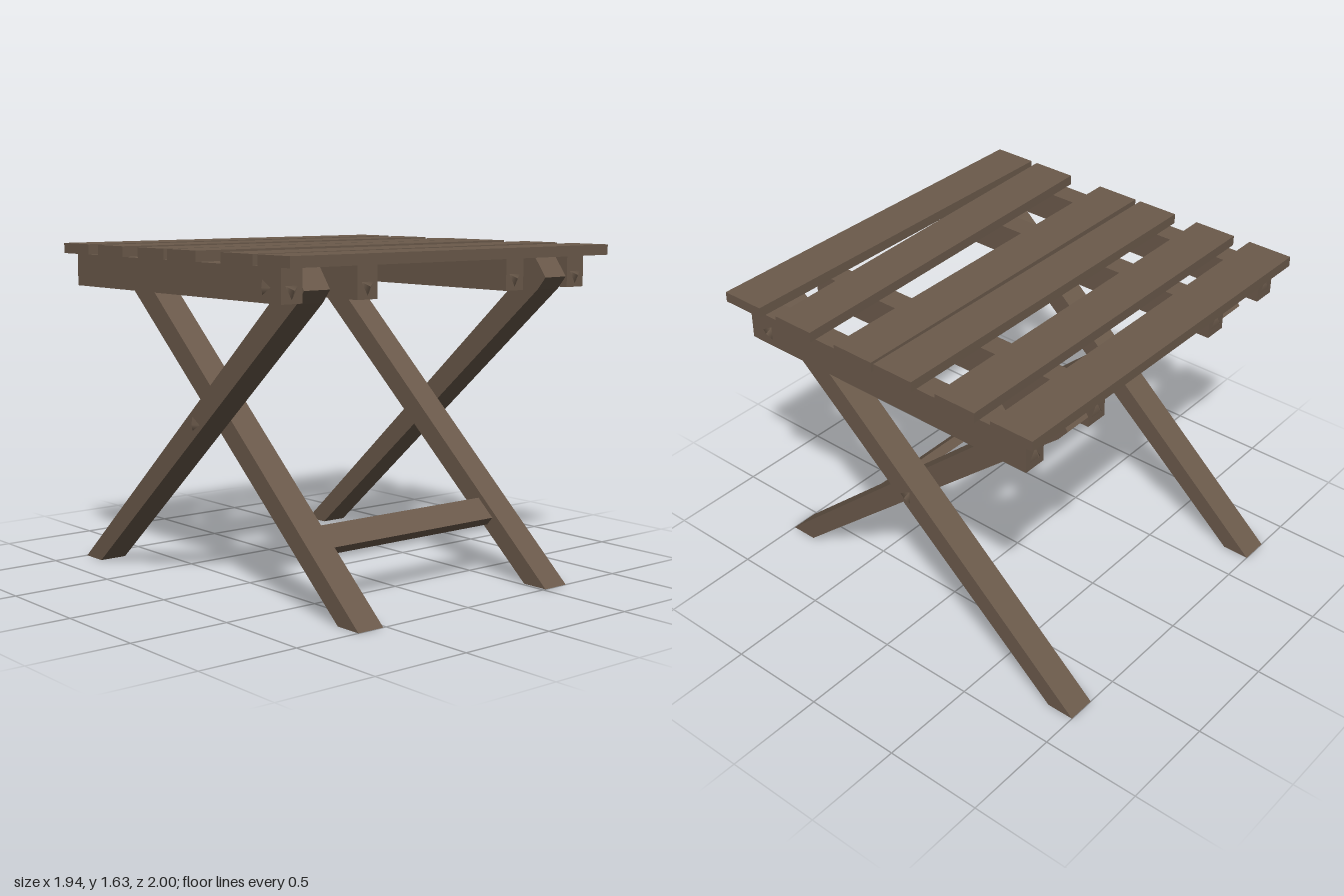
import * as THREE from 'three';

export function createModel() {
  const group = new THREE.Group();
  group.name = 'foldingStool';
  const wood = new THREE.MeshStandardMaterial({ color: 0x6b5a4b });
  wood.name = 'brown wood';

  const add = (name, geometry, x = 0, y = 0, z = 0) => {
    const mesh = new THREE.Mesh(geometry, wood);
    mesh.name = name;
    mesh.position.set(x, y, z);
    group.add(mesh);
    return mesh;
  };
  const extrude = (points, depth) => new THREE.ExtrudeGeometry(
    new THREE.Shape(points.map(([a, b]) => new THREE.Vector2(a, b))),
    { depth, bevelEnabled: false });

  // Seat slats: [back, front] z at the right end, then at the left end
  const slats = [
    [-0.89, -0.66, -0.88, -0.655],
    [-0.57, -0.35, -0.57, -0.35],
    [-0.22, -0.005, -0.215, 0.005],
    [0.025, 0.25, 0.02, 0.245],
    [0.44, 0.67, 0.395, 0.615],
    [0.705, 0.925, 0.72, 0.945],
  ];
  for (const [b0, f0, b1, f1] of slats) {
    const slat = extrude([[-0.97, -f0], [0.97, -f1], [0.97, -b1], [-0.97, -b0]], 0.05);
    slat.rotateX(-Math.PI / 2);
    add('seatSlat', slat, 0, 1.58, 0);
  }

  // Leg profile as (z, y): foot at the front, square-cut head at the back
  const profile = [[1, 0], [0.86, 0], [-0.77, 1.415], [-0.82, 1.475], [-0.75, 1.57], [-0.594, 1.42]];
  const leg = (dir) => {
    const g = extrude(profile.map(([z, y]) => [z * dir, y]), 0.143);
    g.translate(0, 0, -0.0715);
    return g.rotateY(-Math.PI / 2);
  };

  // Three-sided pin head
  const pin = new THREE.ConeGeometry(0.04, 0.02, 3);

  for (const side of [-1, 1]) {
    add('frontLeg', leg(1), side * 0.588);
    add('backLeg', leg(-1), side * 0.741);

    // Rails under the seat, on both sides of each leg pair
    for (const [x, w] of [[0.878, 0.115], [0.458, 0.115]]) {
      add('seatRail', new THREE.BoxGeometry(w, 0.155, 1.64), side * x, 1.5, 0);
      for (const end of [-1, 1]) {
        add('railEndPin', pin, side * x, 1.48, end * 0.83).rotation.x = end * Math.PI / 2;
      }
    }

    // Pins on the outer faces of the rail and the crossing legs
    add('railPin', pin, side * 0.945, 1.49, 0.71).rotation.z = -side * Math.PI / 2;
    add('pivotPin', pin, side * 0.822, 0.81, 0).rotation.z = -side * Math.PI / 2;
  }

  // Crossbar joining the front legs, lying along their slope
  add('crossbar', new THREE.BoxGeometry(1.04, 0.13, 0.052), 0, 0.313, 0.572).rotation.x = -0.85;

  return group;
}
